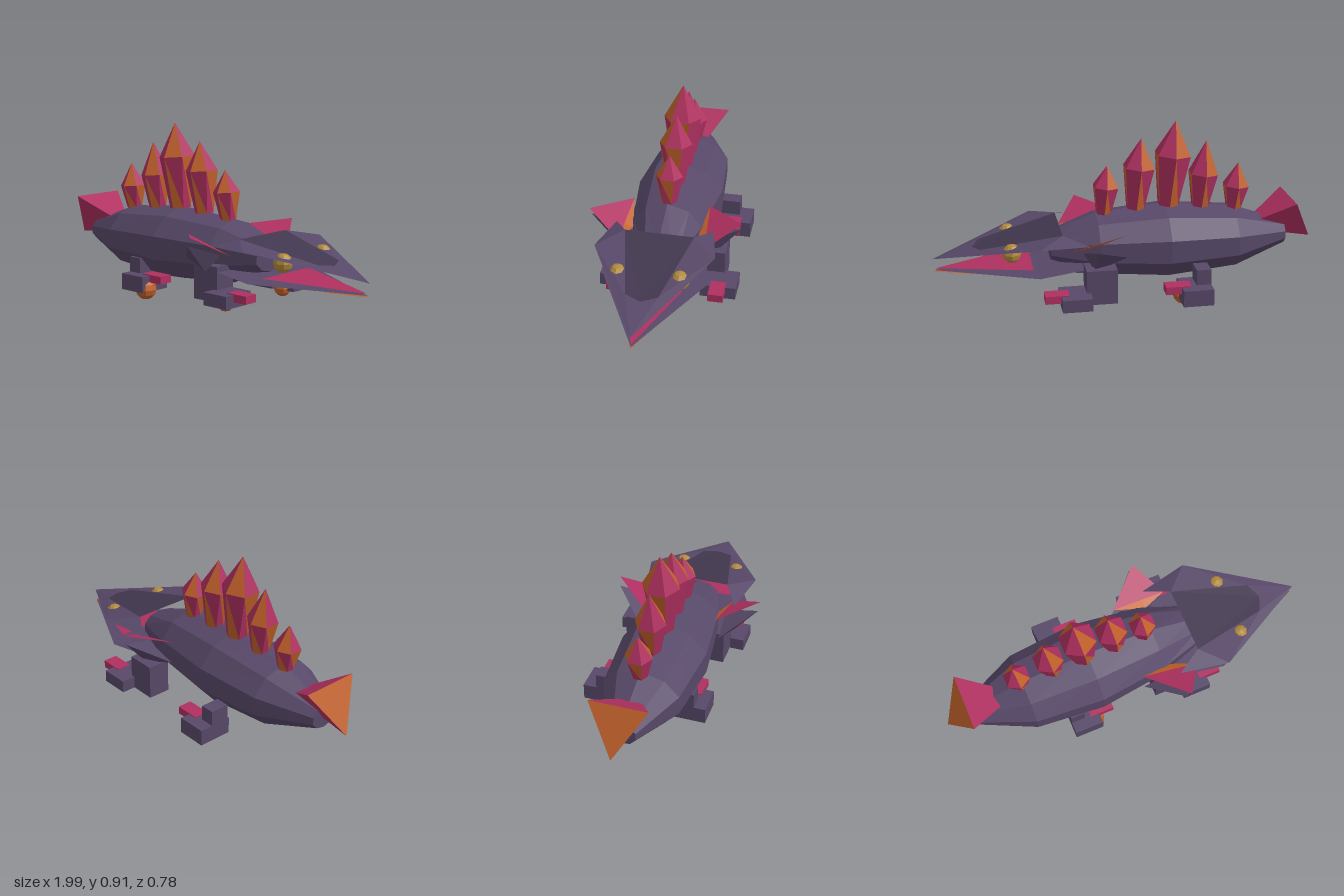
import * as THREE from 'three';

const mat = (color) => new THREE.MeshStandardMaterial({ color, flatShading: true, side: THREE.DoubleSide });
const HIDE = mat(0x574868), PLATE = mat(0x42374f), MAGENTA = mat(0xb03060), ORANGE = mat(0xc0602a), GOLD = mat(0xb08a3c);

// Faceted surface from corner points and index triples
function facets(name, points, faces, material) {
  const g = new THREE.BufferGeometry();
  g.setAttribute('position', new THREE.Float32BufferAttribute(points.flat(), 3));
  g.setIndex(faces.flat());
  const flat = g.toNonIndexed();
  flat.computeVertexNormals();
  const m = new THREE.Mesh(flat, material);
  m.name = name;
  return m;
}

// Box given by its extents
function block(name, x, y, z, material) {
  const m = new THREE.Mesh(new THREE.BoxGeometry(x[1] - x[0], y[1] - y[0], z[1] - z[0]), material);
  m.position.set((x[0] + x[1]) / 2, (y[0] + y[1]) / 2, (z[0] + z[1]) / 2);
  m.name = name;
  return m;
}

function ball(name, r, x, y, z, material) {
  const m = new THREE.Mesh(new THREE.SphereGeometry(r, 8, 6), material);
  m.position.set(x, y, z);
  m.name = name;
  return m;
}

// Ten-sided hull lofted along x
function body() {
  const rings = [[-0.84, 0.06, 0.075], [-0.56, 0.16, 0.205], [-0.2, 0.193, 0.236], [0.16, 0.163, 0.19], [0.4, 0.07, 0.11]];
  const n = 10, points = [], faces = [];
  for (const [x, ry, rz] of rings)
    for (let i = 0; i < n; i++) {
      const a = (i / n) * Math.PI * 2;
      points.push([x, 0.281 + ry * Math.cos(a), rz * Math.sin(a)]);
    }
  for (let r = 0; r < rings.length - 1; r++)
    for (let i = 0; i < n; i++) {
      const a = r * n + i, b = r * n + (i + 1) % n;
      faces.push([a, b, a + n], [b, b + n, a + n]);
    }
  const last = (rings.length - 1) * n;
  for (let i = 1; i < n - 1; i++) faces.push([0, i + 1, i], [last, last + i, last + i + 1]);
  return facets('body', points, faces, HIDE);
}

// Six-sided crystal, every third facet orange
function crystal(x, y, shoulder, tip, r) {
  const base = [], top = [], faces = [[], []], points = [];
  let count = 0;
  const add = (f) => faces[count++ % 3 === 0 ? 0 : 1].push(f);
  for (let i = 0; i < 6; i++) {
    const a = (i * Math.PI) / 3;
    base.push([0.58 * r * Math.sin(a), 0, 0.58 * r * Math.cos(a)]);
    top.push([r * Math.sin(a), shoulder, r * Math.cos(a)]);
  }
  points.push(...base, ...top, [0, tip, 0]);
  for (let i = 0; i < 6; i++) {
    const j = (i + 1) % 6;
    add([i, j, i + 6]);
    add([j, j + 6, i + 6]);
  }
  for (let i = 0; i < 6; i++) add([i + 6, (i + 1) % 6 + 6, 12]);
  const g = new THREE.Group();
  g.name = 'crystal';
  g.add(facets('crystalOrangeFacets', points, faces[0], ORANGE), facets('crystalMagentaFacets', points, faces[1], MAGENTA));
  g.position.set(x, y, 0);
  g.rotation.z = 0.085;
  return g;
}

function head() {
  const g = new THREE.Group();
  g.name = 'head';
  const pts = [[1, 0.24, 0], [0.795, 0.295, 0]];
  for (const s of [1, -1])
    pts.push([0.22, 0.35, 0.25 * s], [0.475, 0.365, 0.3 * s], [0.35, 0.39, 0.175 * s], [0.76, 0.305, 0.08 * s]);
  const skull = [];
  for (const k of [2, 6]) {
    const half = [[k, k + 1, k + 2], [k + 1, k + 3, k + 2], [k + 1, 0, k + 3], [0, 1, k + 3]];
    skull.push(...(k === 2 ? half : half.map(([a, b, c]) => [a, c, b])));
  }
  g.add(facets('upperJaw', pts, skull, HIDE));
  g.add(facets('browPlate', pts, [[4, 5, 1], [4, 1, 8], [8, 1, 9]], PLATE));
  // Lower jaw, tongue and lip
  g.add(facets('lowerJaw',
    [[0.22, 0.22, 0.22], [0.475, 0.2, 0.26], [0.99, 0.18, 0], [0.475, 0.2, -0.26], [0.22, 0.22, -0.22]],
    [[0, 1, 4], [1, 3, 4], [1, 2, 3]], HIDE));
  g.add(facets('tongue', [[0.5, 0.217, 0.18], [0.985, 0.19, 0], [0.5, 0.217, -0.18]], [[0, 1, 2]], MAGENTA));
  g.add(facets('lowerLip', [[0.8, 0.18, 0.085], [0.995, 0.174, 0], [0.8, 0.18, -0.085]], [[0, 1, 2]], ORANGE));
  for (const s of [1, -1]) g.add(ball('eye', 0.048, 0.605, 0.305, 0.153 * s, GOLD));
  return g;
}

// Side frill: magenta blade with an orange underside over a hide blade
function frill(s) {
  const g = new THREE.Group();
  g.name = 'frill';
  const p = [[0.22, 0.41, 0.39 * s], [0.03, 0.38, 0.2 * s], [0.33, 0.31, 0.22 * s], [0.2, 0.31, 0.17 * s]];
  const wind = (f) => (s > 0 ? f : f.map(([a, b, c]) => [a, c, b]));
  g.add(facets('frillTop', p, wind([[0, 2, 1]]), MAGENTA));
  g.add(facets('frillUnderside', p, wind([[0, 1, 3], [0, 3, 2]]), ORANGE));
  g.add(facets('lowerFrill',
    [[0.2, 0.365, 0.385 * s], [0.03, 0.27, 0.22 * s], [0.2, 0.22, 0.26 * s], [0.25, 0.3, 0.2 * s]],
    wind([[0, 1, 2], [0, 2, 3], [0, 3, 1]]), HIDE));
  return g;
}

// Leg placed by the middle z of its foot
function leg(name, zMid, s, d) {
  const g = new THREE.Group();
  g.name = name;
  const around = (c, w) => [c - w / 2, c + w / 2];
  g.add(block('upperLeg', d.legX, d.legY, around(zMid + d.legZ, d.legW), HIDE));
  g.add(block('foot', d.footX, d.footY, around(zMid, 0.18), HIDE));
  g.add(block('toe', d.toeX, [0.095, 0.135], around(zMid, 0.076), MAGENTA));
  g.add(ball('footOrb', d.orbR, d.orbX, d.orbY, 0.22 * s, ORANGE));
  return g;
}

export function createModel() {
  const model = new THREE.Group();
  model.name = 'crystalBackedReptile';
  model.add(body(), head(), frill(1), frill(-1));

  // Row of back crystals: x, base y, shoulder height, tip height, radius
  [[-0.57, 0.43, 0.12, 0.242, 0.07], [-0.39, 0.45, 0.175, 0.35, 0.08], [-0.22, 0.465, 0.27, 0.447, 0.097],
    [-0.048, 0.455, 0.22, 0.372, 0.085], [0.118, 0.435, 0.145, 0.257, 0.07]]
    .forEach((c) => model.add(crystal(...c)));

  // Three-sided tail fin, its point sunk into the body
  const tail = [[-0.6, 0.31, 0], [-0.87, 0.475, 0.15], [-0.87, 0.475, -0.15], [-0.99, 0.245, 0]];
  model.add(facets('tailFinSides', tail, [[0, 2, 1], [0, 1, 3], [0, 3, 2]], MAGENTA));
  model.add(facets('tailFinEnd', tail, [[1, 2, 3]], ORANGE));

  // Legs
  const front = {
    legX: [0.095, 0.25], legY: [0.065, 0.245], legZ: -0.045, legW: 0.12,
    footX: [0.23, 0.38], footY: [0.065, 0.13], toeX: [0.34, 0.46], orbX: 0.3, orbY: 0.075, orbR: 0.045,
  };
  const hind = {
    legX: [-0.385, -0.31], legY: [0.1, 0.21], legZ: -0.02, legW: 0.1,
    footX: [-0.385, -0.23], footY: [0.045, 0.13], toeX: [-0.28, -0.15], orbX: -0.26, orbY: 0.055, orbR: 0.055,
  };
  model.add(leg('frontLeg', 0.215, 1, front), leg('frontLeg', -0.3, -1, { ...front, legZ: 0.045 }));
  model.add(leg('hindLeg', 0.185, 1, hind), leg('hindLeg', -0.287, -1, { ...hind, legZ: 0.03 }));
  return model;
}
